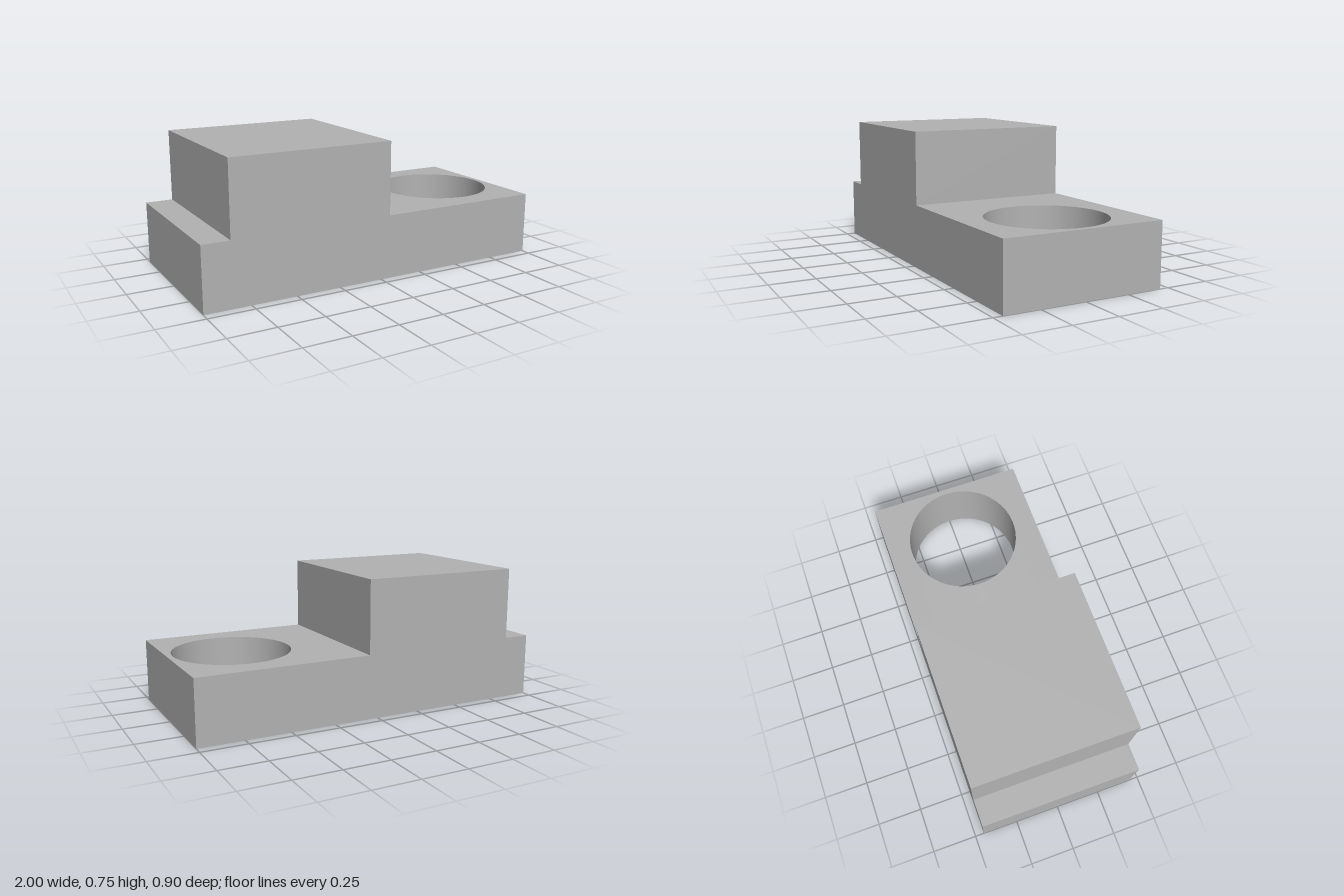
import * as THREE from 'three';
import { toCreasedNormals } from 'three/addons/utils/BufferGeometryUtils.js';

const DEPTH = 0.9;
const BASE_HEIGHT = 0.35;
const TOP = 0.75;

export function createModel() {
  const group = new THREE.Group();
  group.name = 'steppedBlock';
  const grey = new THREE.MeshStandardMaterial({ color: 0xb2b2b2 });
  grey.name = 'grey';

  // Base plate with a round through-hole near its left end
  const outline = new THREE.Shape([
    new THREE.Vector2(-1, -DEPTH / 2),
    new THREE.Vector2(1, -DEPTH / 2),
    new THREE.Vector2(1, DEPTH / 2),
    new THREE.Vector2(-1, DEPTH / 2),
  ]);
  outline.holes.push(new THREE.Path().absarc(0.65, 0, 0.32, 0, Math.PI * 2, true));
  const plate = new THREE.ExtrudeGeometry(outline, {
    depth: BASE_HEIGHT, bevelEnabled: false, curveSegments: 64,
  });
  plate.rotateX(-Math.PI / 2);
  const base = new THREE.Mesh(toCreasedNormals(plate, Math.PI / 6), grey);
  base.name = 'basePlate';
  group.add(base);

  // Raised block, flush with the front and back of the plate
  const height = TOP - BASE_HEIGHT;
  const block = new THREE.Mesh(new THREE.BoxGeometry(0.9, height, DEPTH), grey);
  block.name = 'raisedBlock';
  block.position.set(-0.4, BASE_HEIGHT + height / 2, 0);
  group.add(block);

  return group;
}
